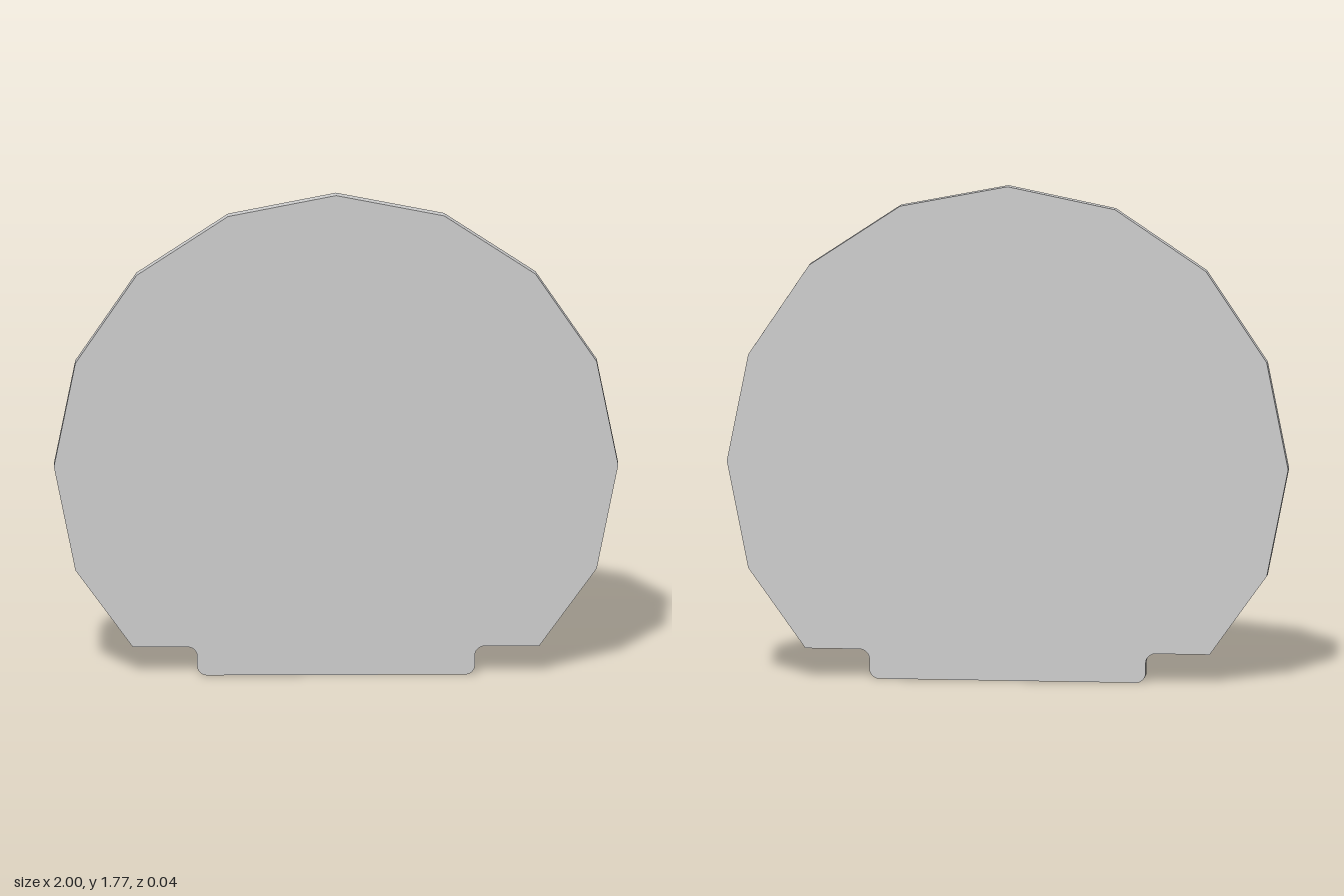
import * as THREE from 'three';

export function createModel() {
  const group = new THREE.Group();
  const radius = 1, centreY = 0.773, thickness = 0.036;
  const shelfY = 0.105, shelfX = 0.72, tabX = 0.492, fillet = 0.035;

  // Outline: foot tab with rounded corners, then a faceted sixteen-sided disc
  const shape = new THREE.Shape();
  shape.moveTo(-tabX + fillet, 0);
  shape.lineTo(tabX - fillet, 0);
  shape.absarc(tabX - fillet, fillet, fillet, -Math.PI / 2, 0, false);
  shape.lineTo(tabX, shelfY - fillet);
  shape.absarc(tabX + fillet, shelfY - fillet, fillet, Math.PI, Math.PI / 2, true);
  shape.lineTo(shelfX, shelfY);
  for (let i = -1; i <= 9; i++) {
    const a = (i * Math.PI) / 8;
    shape.lineTo(radius * Math.cos(a), centreY + radius * Math.sin(a));
  }
  shape.lineTo(-shelfX, shelfY);
  shape.lineTo(-tabX - fillet, shelfY);
  shape.absarc(-tabX - fillet, shelfY - fillet, fillet, Math.PI / 2, 0, true);
  shape.lineTo(-tabX, fillet);
  shape.absarc(-tabX + fillet, fillet, fillet, Math.PI, Math.PI * 1.5, false);

  // Thin flat plate
  const geometry = new THREE.ExtrudeGeometry(shape, {
    depth: thickness, bevelEnabled: false, curveSegments: 6,
  });
  geometry.translate(0, 0, -thickness / 2);
  const plate = new THREE.Mesh(
    geometry,
    new THREE.MeshStandardMaterial({ color: 0xcccccc, flatShading: true })
  );
  plate.name = 'discPlateWithFootTab';
  group.add(plate);
  return group;
}
